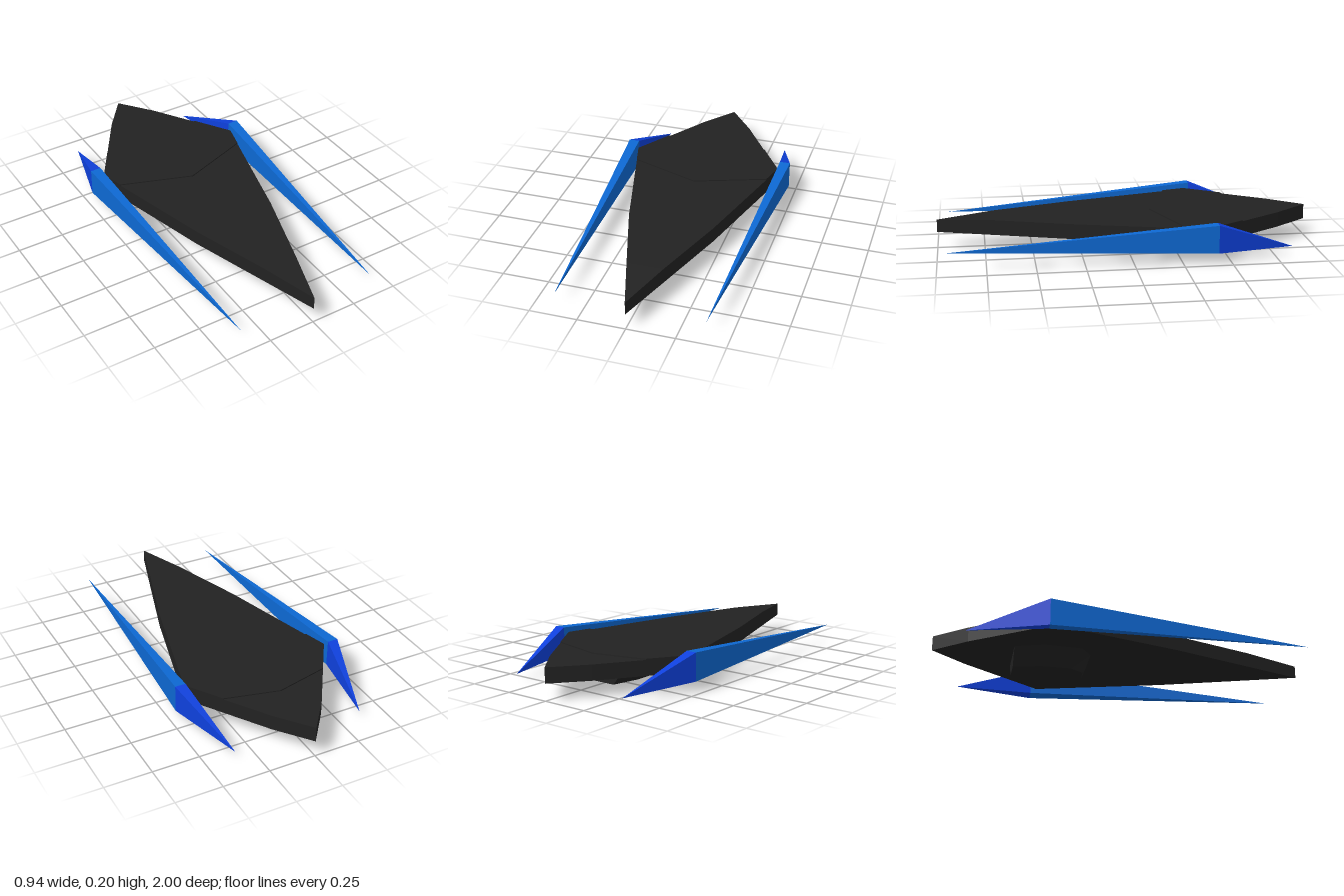
import * as THREE from 'three';

// Solid through matching rings of [x, y, z]; rings run counter-clockwise seen from the last one
function loft(rings) {
  const pos = [];
  const tri = (a, b, c) => {
    const [A, B, C] = [a, b, c].map(p => new THREE.Vector3(...p));
    if (B.sub(A).cross(C.sub(A)).length() > 1e-9) pos.push(...a, ...b, ...c);
  };
  const n = rings[0].length;
  for (let r = 0; r + 1 < rings.length; r++) {
    for (let i = 0; i < n; i++) {
      const j = (i + 1) % n, a = rings[r], b = rings[r + 1];
      tri(a[i], a[j], b[j]);
      tri(a[i], b[j], b[i]);
    }
  }
  const first = rings[0], last = rings[rings.length - 1];
  for (let i = 1; i + 1 < n; i++) {
    tri(first[0], first[i + 1], first[i]);
    tri(last[0], last[i], last[i + 1]);
  }
  const geo = new THREE.BufferGeometry();
  geo.setAttribute('position', new THREE.Float32BufferAttribute(pos, 3));
  geo.computeVertexNormals();
  return geo;
}

// Closed symmetric outline at height y from its right half, front to rear
function outline(half, y) {
  const mirrored = half.filter(p => p[0] > 0).reverse().map(([x, z]) => [-x, z]);
  return [...half, ...mirrored].map(([x, z]) => [x, y, z]);
}

export function createModel() {
  const model = new THREE.Group();
  const mat = (name, color) => {
    const m = new THREE.MeshStandardMaterial({ color });
    m.name = name;
    return m;
  };
  const black = mat('hull black', 0x222222);
  const blue = mat('pod blue', 0x0d68d2);
  const deepBlue = mat('pod tail blue', 0x0e40dc);
  const add = (name, geo, material, parent = model) => {
    const mesh = new THREE.Mesh(geo, material);
    mesh.name = name;
    parent.add(mesh);
  };

  // Flat diamond hull: z, half width, top height from tail to nose
  const stations = [
    [-1, 0, 0.168], [-0.82, 0.14, 0.168], [-0.4, 0.41, 0.168],
    [0.28, 0.23, 0.168], [0.7, 0.096, 0.168], [1, 0, 0.155],
  ];
  add('hull', loft(stations.map(([z, w, t]) =>
    [[-w, 0.087, z], [w, 0.087, z], [w, t, z], [-w, t, z]])), black);

  // Slightly raised plate across the widest part
  const plate = [[0, -0.14], [0.377, -0.275], [0.41, -0.4], [0.288, -0.59], [0, -0.66]];
  add('deckPlate', loft([outline(plate, 0.16), outline(plate, 0.174)]), black);

  // Tapered keel under the hull
  const keelLow = [[0.045, -0.2], [0.09, -0.27], [0.092, -0.42], [0.06, -0.575]];
  const keelHigh = [[0.09, -0.165], [0.165, -0.22], [0.177, -0.42], [0.13, -0.575]];
  add('keel', loft([outline(keelLow, 0), outline(keelHigh, 0.09)]), black);

  // Long pointed pods on both sides
  for (const side of [1, -1]) {
    const pod = new THREE.Group();
    pod.name = side > 0 ? 'leftPod' : 'rightPod';
    model.add(pod);
    const ring = pts => {
      const out = pts.map(([x, y, z]) => [side * x, y, z]);
      return side > 0 ? out : out.reverse();
    };
    const middle = ring([[0.412, 0.062, -0.43], [0.472, 0.055, -0.43],
      [0.472, 0.203, -0.43], [0.415, 0.203, -0.43]]);
    const nose = ring(Array(4).fill([0.385, 0.088, 0.945]));
    const tail = ring(Array(4).fill([0.354, 0.043, -0.845]));
    add('podFront', loft([middle, nose]), blue, pod);
    add('podTail', loft([tail, middle]), deepBlue, pod);
  }
  return model;
}
